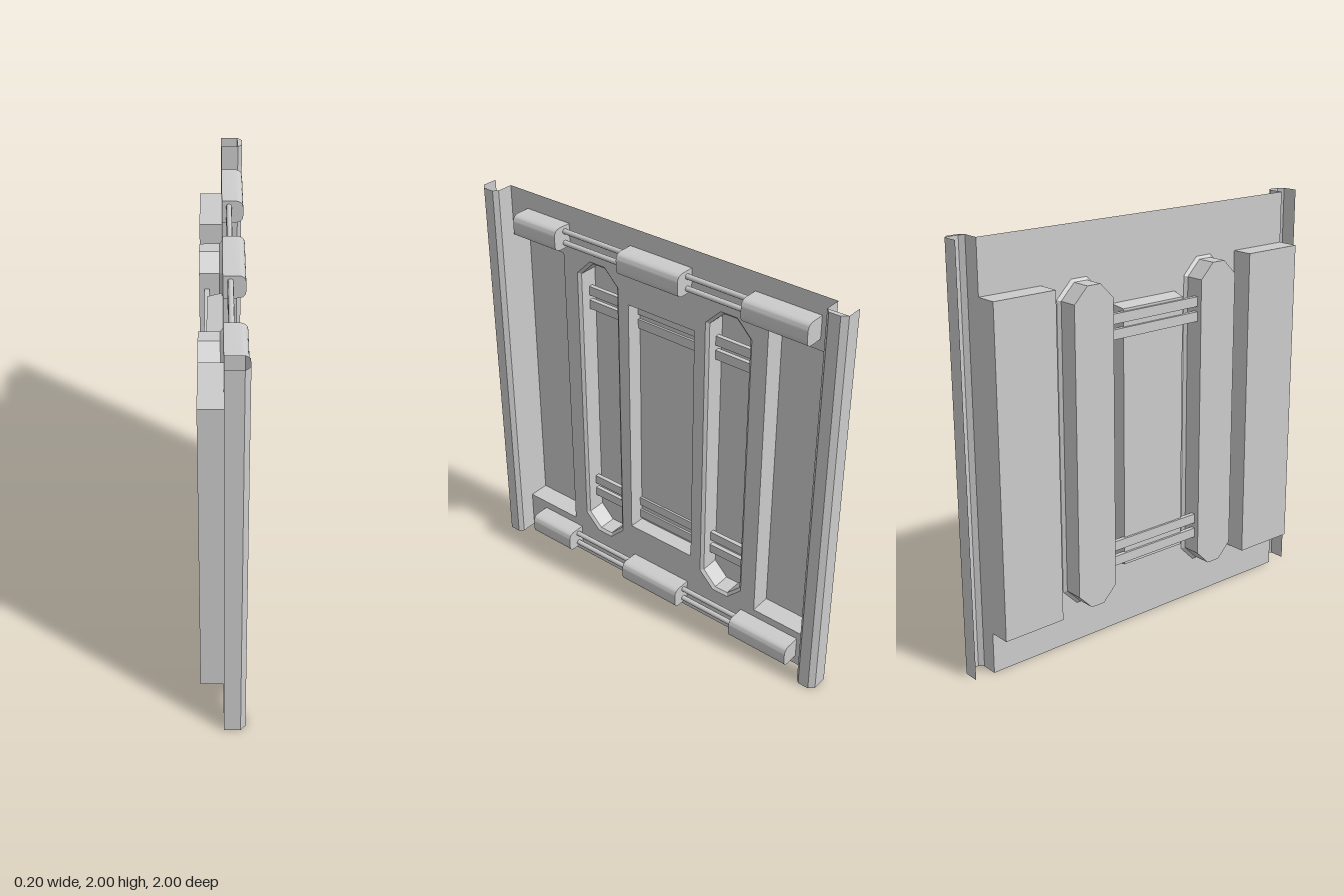
import * as THREE from 'three';
import { mergeVertices, toCreasedNormals } from 'three/addons/utils/BufferGeometryUtils.js';

const material = new THREE.MeshStandardMaterial({ color: 0xcccccc, side: THREE.DoubleSide });

// Local frame: u runs along the wall, y is up, d is depth towards the wall's face.
// The whole assembly is turned at the end so the face looks along +x.

const toPoints = (list) => list.map(([u, y]) => new THREE.Vector2(u, y));

// Rectangle (cut = 0) or octagon outline, anticlockwise
function outline(u0, u1, y0, y1, cut = 0) {
  if (!cut) return [[u0, y0], [u1, y0], [u1, y1], [u0, y1]];
  return [
    [u0 + cut, y0], [u1 - cut, y0], [u1, y0 + cut], [u1, y1 - cut],
    [u1 - cut, y1], [u0 + cut, y1], [u0, y1 - cut], [u0, y0 + cut],
  ];
}

// Recessed tray: rings of equal point count joined by walls, the last one floored
function pocketGeometry(rings) {
  const pos = [];
  const put = (ring, i) => {
    const p = ring.points[i % ring.points.length];
    pos.push(p[0], p[1], ring.depth);
  };
  for (let r = 0; r < rings.length - 1; r++) {
    const a = rings[r], b = rings[r + 1];
    for (let i = 0; i < a.points.length; i++) {
      put(a, i); put(b, i + 1); put(b, i);
      put(a, i); put(a, i + 1); put(b, i + 1);
    }
  }
  const floor = rings[rings.length - 1];
  for (let i = 1; i < floor.points.length - 1; i++) {
    put(floor, 0); put(floor, i); put(floor, i + 1);
  }
  const geo = new THREE.BufferGeometry();
  geo.setAttribute('position', new THREE.Float32BufferAttribute(pos, 3));
  geo.computeVertexNormals();
  return geo;
}

export function createModel() {
  const wall = new THREE.Group();
  wall.name = 'wallSection';
  wall.rotation.y = Math.PI / 2;

  const add = (name, geo, u = 0, y = 0, d = 0) => {
    const mesh = new THREE.Mesh(geo, material);
    mesh.name = name;
    mesh.position.set(u, y, d);
    wall.add(mesh);
    return mesh;
  };

  // Face sheet, notched at both sides for the wide recesses
  const sheet = new THREE.Shape(toPoints([
    [-0.9, 0], [0.9, 0], [0.9, 0.2], [0.58, 0.2], [0.58, 1.75], [0.9, 1.75],
    [0.9, 2], [-0.9, 2], [-0.9, 1.75], [-0.58, 1.75], [-0.58, 0.2], [-0.9, 0.2],
  ]));

  // Centre recess with sloping walls
  const centreRim = outline(-0.19, 0.19, 0.335, 1.61);
  sheet.holes.push(new THREE.Path(toPoints(centreRim)));
  add('centreRecess', pocketGeometry([
    { points: centreRim, depth: 0 },
    { points: outline(-0.18, 0.18, 0.345, 1.597), depth: -0.07 },
  ]));

  for (const s of [-1, 1]) {
    // Octagonal slot with a chamfered rim
    const c = s * 0.374;
    const rim = outline(c - 0.124, c + 0.124, 0.195, 1.755, 0.08);
    const inner = outline(c - 0.109, c + 0.109, 0.208, 1.742, 0.073);
    sheet.holes.push(new THREE.Path(toPoints(rim)));
    add('slotRecess', pocketGeometry([
      { points: rim, depth: 0 },
      { points: inner, depth: -0.012 },
      { points: inner, depth: -0.105 },
    ]));

    // Wide side recess
    const side = s > 0 ? outline(0.58, 0.9, 0.2, 1.75) : outline(-0.9, -0.58, 0.2, 1.75);
    add('sideRecess', pocketGeometry([
      { points: side, depth: 0 },
      { points: side, depth: -0.105 },
    ]));

    // Edge channel, open towards the back
    const profile = [[0.9, 0], [0.9, 0.08], [0.92, 0.1], [0.975, 0.1], [1, 0.077], [1, 0]];
    const strip = [];
    for (let i = 0; i < profile.length - 1; i++) {
      const [ua, da] = profile[i], [ub, db] = profile[i + 1];
      const quad = [[ua, 0, da], [ub, 0, db], [ub, 2, db], [ua, 0, da], [ub, 2, db], [ua, 2, da]];
      if (s < 0) quad.reverse();
      for (const [u, y, d] of quad) strip.push(s * u, y, d);
    }
    const channel = new THREE.BufferGeometry();
    channel.setAttribute('position', new THREE.Float32BufferAttribute(strip, 3));
    channel.computeVertexNormals();
    add('edgeChannel', channel);
  }
  add('faceSheet', new THREE.ShapeGeometry(sheet));

  // Small closing plate on top of one channel
  const plate = new THREE.Shape(toPoints([[0.9, -0.08], [0.92, -0.1], [0.975, -0.1], [1, -0.077]]));
  add('channelCap', new THREE.ShapeGeometry(plate), 0, 2, 0).rotation.x = -Math.PI / 2;

  // Square bars passing through the slots and behind the centre recess
  for (const y of [1.562, 1.49, 0.462, 0.386]) {
    add('crossBar', new THREE.BoxGeometry(0.96, 0.047, 0.022), 0, y, -0.07);
  }

  // Rounded sleeve profile, seen along the pipe
  const sleeve = new THREE.Shape();
  sleeve.moveTo(0, -0.055);
  sleeve.lineTo(0.07, -0.055);
  sleeve.quadraticCurveTo(0.1, -0.05, 0.1, -0.02);
  sleeve.lineTo(0.1, 0.02);
  sleeve.quadraticCurveTo(0.1, 0.05, 0.07, 0.055);
  sleeve.lineTo(0, 0.055);
  sleeve.closePath();

  // Pipe runs along the top and bottom: thin rods held by three sleeves
  for (const y of [1.857, 0.105]) {
    for (const [u0, u1] of [[-0.797, -0.537], [-0.172, 0.172], [0.504, 0.833]]) {
      let geo = new THREE.ExtrudeGeometry(sleeve, { depth: u1 - u0, bevelEnabled: false, curveSegments: 5 });
      geo.deleteAttribute('normal');
      geo.deleteAttribute('uv');
      geo = toCreasedNormals(mergeVertices(geo), 0.7);
      // Profile x becomes depth, extrusion becomes length
      geo.rotateY(-Math.PI / 2);
      add('pipeSleeve', geo, u1, y, 0);
    }
    for (const dy of [0.028, -0.03]) {
      const rod = new THREE.CylinderGeometry(0.013, 0.013, 1.3, 10, 1, true);
      rod.rotateZ(Math.PI / 2);
      add('pipeRod', rod, 0.01, y + dy, 0.033);
    }
  }

  const model = new THREE.Group();
  model.name = 'wallPanel';
  model.add(wall);
  return model;
}
